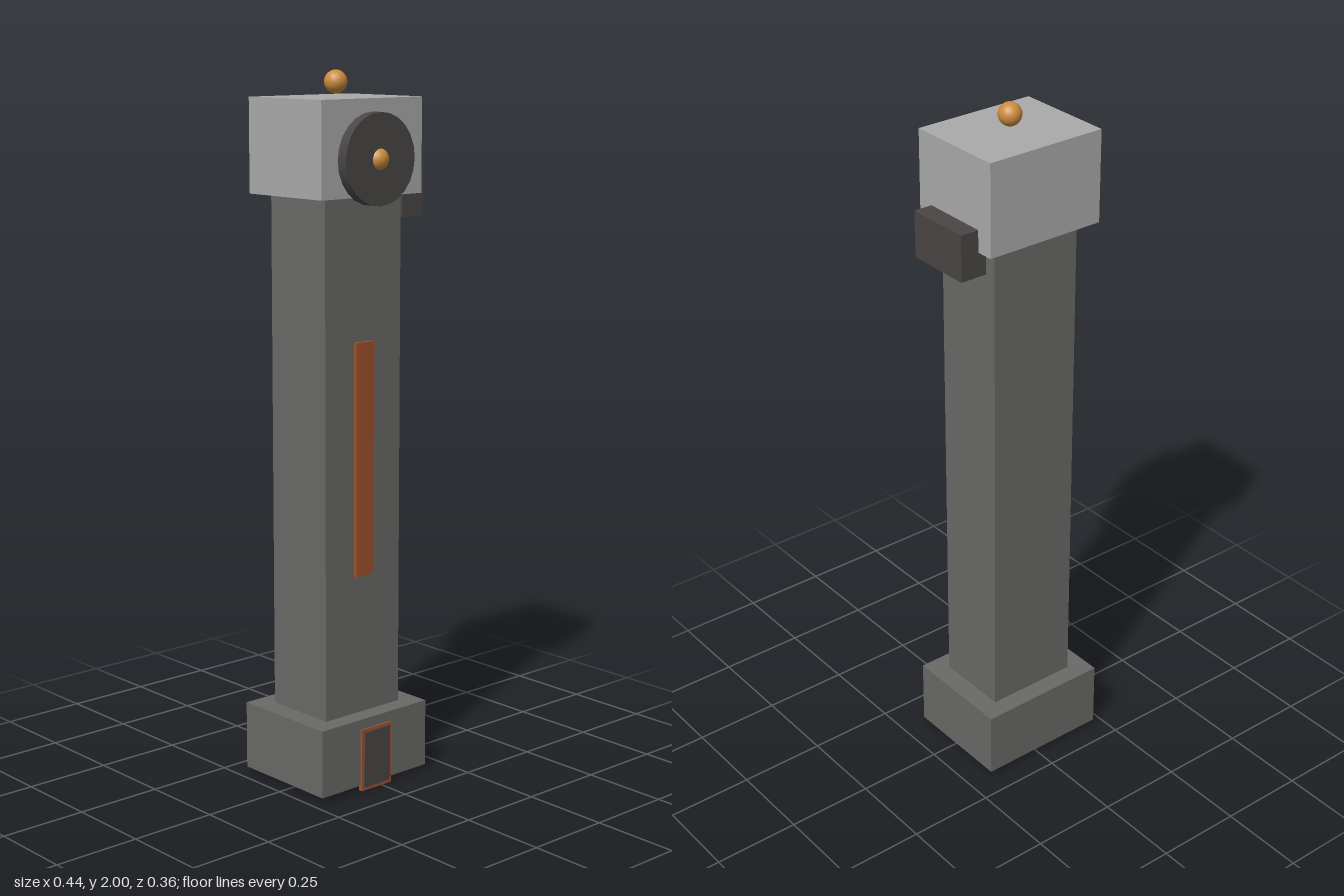
import * as THREE from 'three';

const paint = (color) => new THREE.MeshStandardMaterial({ color });

export function createModel() {
  const model = new THREE.Group();
  const stone = paint(0x696967);
  const pale = paint(0xaaaaaa);
  const dark = paint(0x4a4646);
  const rust = paint(0xa0522d);
  const brass = paint(0xcd8c3f);
  const cx = -0.02, cz = -0.018; // tower axis

  const add = (name, geometry, material, x, y, z) => {
    const mesh = new THREE.Mesh(geometry, material);
    mesh.name = name;
    mesh.position.set(x, y, z);
    model.add(mesh);
    return mesh;
  };
  // box given by its low and high corners
  const box = (name, material, [x0, y0, z0], [x1, y1, z1]) =>
    add(name, new THREE.BoxGeometry(x1 - x0, y1 - y0, z1 - z0), material,
      (x0 + x1) / 2, (y0 + y1) / 2, (z0 + z1) / 2);

  // tower body
  box('base', stone, [-0.218, 0.015, -0.183], [0.177, 0.21, 0.147]);
  box('shaft', stone, [-0.158, 0.21, -0.128], [0.118, 1.667, 0.094]);
  box('head', pale, [-0.202, 1.667, -0.167], [0.162, 1.928, 0.13]);
  box('sideBox', dark, [0.138, 1.598, -0.117], [0.217, 1.73, 0.081]);

  // front strip and framed door
  box('strip', rust, [-0.053, 0.61, 0.09], [0.013, 1.27, 0.104]);
  box('doorFrame', rust, [-0.076, 0, 0.142], [0.036, 0.181, 0.153]);
  box('door', dark, [-0.067, 0.01, 0.142], [0.028, 0.173, 0.157]);

  // round dial with its hub
  const dial = add('dial', new THREE.CylinderGeometry(0.125, 0.125, 0.034, 24), dark, cx, 1.768, 0.145);
  dial.rotation.x = Math.PI / 2;
  const ball = new THREE.SphereGeometry(0.032, 20, 14);
  add('dialHub', ball, brass, cx, 1.768, 0.148);

  // ball floating just above the roof
  add('topBall', ball, brass, cx, 1.968, cz);

  return model;
}
